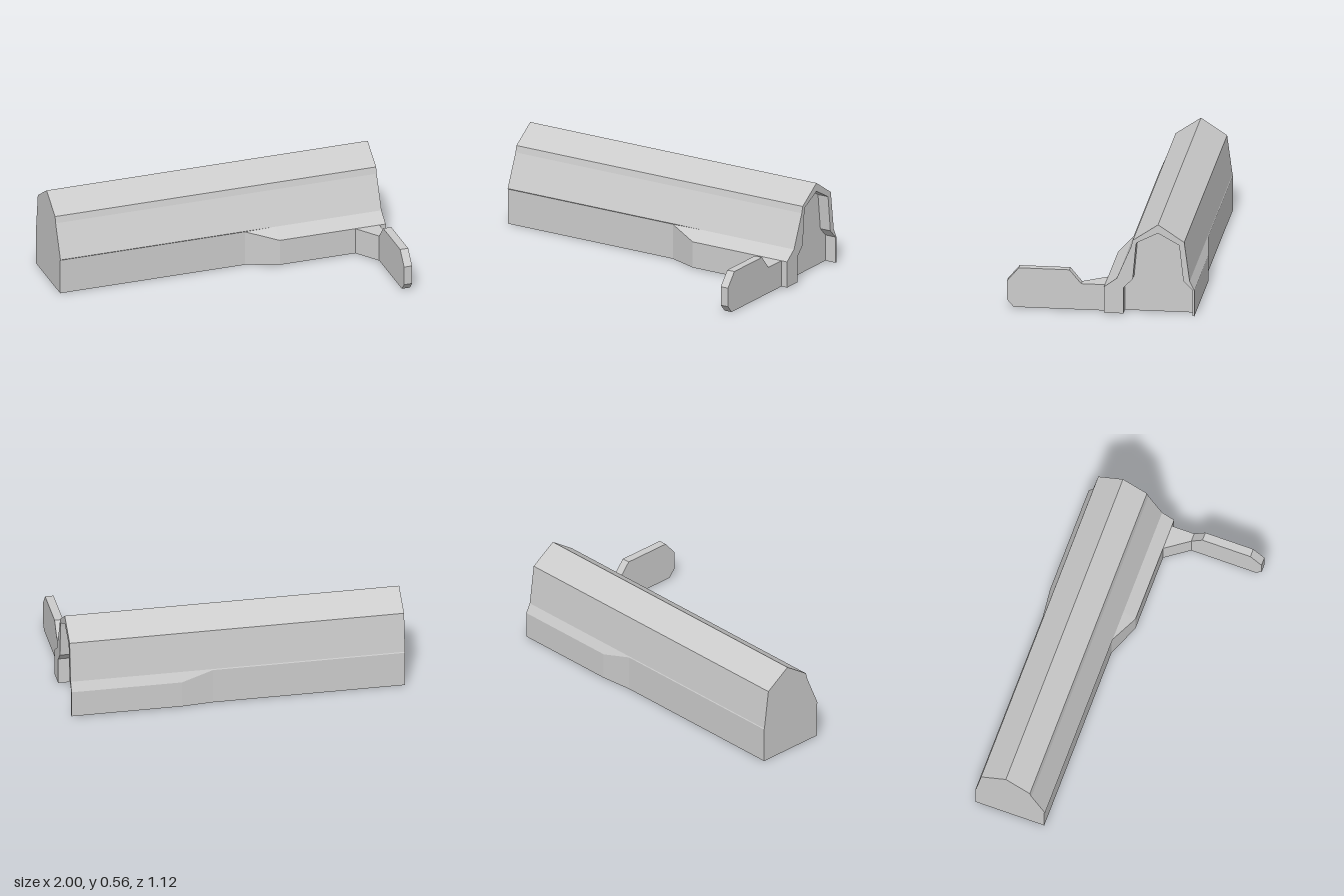
import * as THREE from 'three';

const material = new THREE.MeshStandardMaterial({
  color: 0xcccccc, flatShading: true, side: THREE.DoubleSide,
});

// Profiles are [z, y], running from the front foot over the ridge to the back foot.
const upper = [[-0.095, 0.22], [-0.18, 0.42], [-0.19, 0.46], [-0.34, 0.562],
  [-0.495, 0.46], [-0.527, 0.22]];
const narrow = [[-0.1, 0], [-0.1, 0.215], ...upper, [-0.53, 0.215], [-0.53, 0]];
const flared = [[-0.02, 0.005], [-0.02, 0.165], ...upper, [-0.555, 0.165], [-0.555, 0.005]];
const doorway = [[-0.135, 0.005], [-0.135, 0.165], [-0.19, 0.22], [-0.208, 0.42],
  [-0.212, 0.445], [-0.34, 0.51], [-0.465, 0.44], [-0.49, 0.22],
  [-0.545, 0.165], [-0.545, 0.005]];

// Open surface running through a list of { x, profile } sections.
function loft(sections) {
  const positions = [];
  const corner = (s, i) => [s.x, s.profile[i][1], s.profile[i][0]];
  for (let k = 0; k + 1 < sections.length; k++) {
    const a = sections[k], b = sections[k + 1];
    for (let i = 0; i + 1 < a.profile.length; i++) {
      positions.push(
        ...corner(a, i), ...corner(b, i), ...corner(b, i + 1),
        ...corner(a, i), ...corner(b, i + 1), ...corner(a, i + 1));
    }
  }
  const geometry = new THREE.BufferGeometry();
  geometry.setAttribute('position', new THREE.Float32BufferAttribute(positions, 3));
  geometry.computeVertexNormals();
  return geometry;
}

const shapeOf = (points) => new THREE.Shape(points.map(([a, b]) => new THREE.Vector2(a, b)));

// Flat wall across the shell, facing +x (side = 1) or -x (side = -1).
function wall(profile, x, side) {
  const shape = shapeOf(profile.map(([z, y]) => [-z * side, y]));
  return new THREE.ShapeGeometry(shape).rotateY(side * Math.PI / 2).translate(x, 0, 0);
}

export function createModel() {
  const group = new THREE.Group();
  const add = (name, geometry) => {
    const mesh = new THREE.Mesh(geometry, material);
    mesh.name = name;
    group.add(mesh);
  };

  // Long shell, open underneath, widening at the foot towards the +x end
  add('shell', loft([
    { x: -1, profile: narrow },
    { x: 0.15, profile: narrow },
    { x: 0.34, profile: flared },
    { x: 1, profile: flared },
  ]));
  add('closedEnd', wall(narrow, -1, -1));

  // Recessed end: rim, reveal and set-back panel
  add('endFrame', loft([
    { x: 1, profile: flared },
    { x: 1, profile: doorway },
    { x: 0.93, profile: doorway },
  ]));
  add('recessedPanel', wall(doorway, 0.93, 1));

  // Low wing wall reaching forward from the recessed end
  const wing = [[-0.02, 0.005], [-0.02, 0.165], [0.12, 0.165], [0.19, 0.248],
    [0.49, 0.248], [0.56, 0.165], [0.56, 0.05], [0.52, 0.005]];
  add('wingWall', new THREE.ExtrudeGeometry(
    shapeOf(wing.map(([z, y]) => [-z, y])), { depth: 0.05, bevelEnabled: false })
    .rotateY(Math.PI / 2).translate(0.91, 0, 0));

  // Wedge bracing the wing wall against the shell
  add('wingBrace', new THREE.ExtrudeGeometry(
    shapeOf([[0.81, 0.02], [0.91, 0.02], [0.91, -0.12]]), { depth: 0.16, bevelEnabled: false })
    .rotateX(-Math.PI / 2).translate(0, 0.005, 0));

  return group;
}
